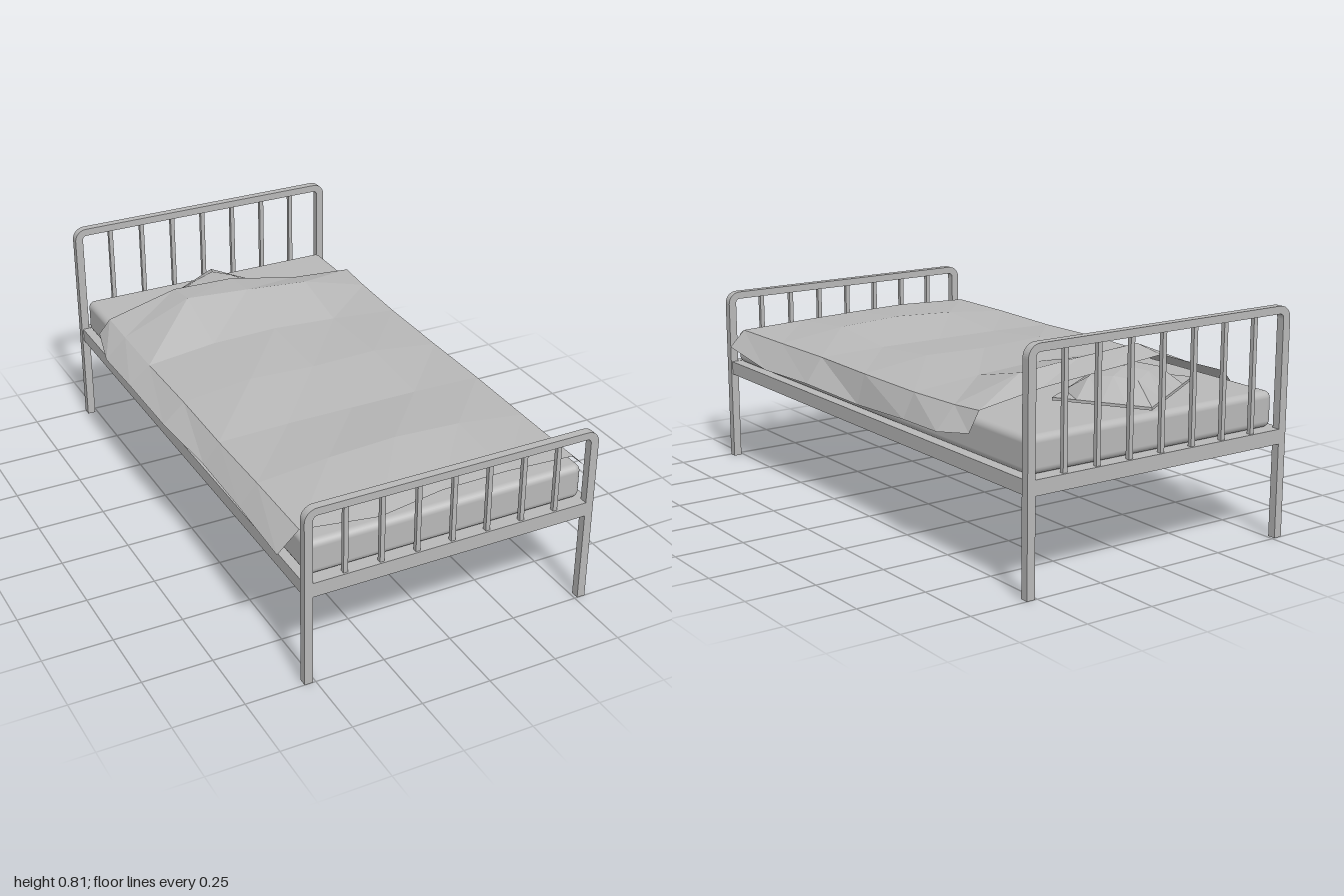
import * as THREE from 'three';
import { RoundedBoxGeometry } from 'three/addons/geometries/RoundedBoxGeometry.js';

const paint = new THREE.MeshStandardMaterial({ color: 0xb8b8b8 });
paint.name = 'light grey';
const cloth = new THREE.MeshStandardMaterial({ color: 0xb8b8b8, side: THREE.DoubleSide, flatShading: true });
cloth.name = 'light grey cloth';

const W = 0.54, BAR = 0.03;

function add(parent, name, geometry, material, x = 0, y = 0, z = 0) {
  const mesh = new THREE.Mesh(geometry, material);
  mesh.name = name;
  mesh.position.set(x, y, z);
  parent.add(mesh);
  return mesh;
}

// Upside-down U hoop with rounded shoulders, a rail and seven spindles
function endFrame(name, height, z) {
  const g = new THREE.Group();
  g.name = name;
  const R = 0.045, r = 0.018, i = W - BAR, h = height - 0.027;
  const s = new THREE.Shape();
  s.moveTo(-W, 0);
  s.lineTo(-i, 0);
  s.lineTo(-i, h - r);
  s.quadraticCurveTo(-i, h, -i + r, h);
  s.lineTo(i - r, h);
  s.quadraticCurveTo(i, h, i, h - r);
  s.lineTo(i, 0);
  s.lineTo(W, 0);
  s.lineTo(W, height - R);
  s.absarc(W - R, height - R, R, 0, Math.PI / 2, false);
  s.lineTo(-W + R, height);
  s.absarc(-W + R, height - R, R, Math.PI / 2, Math.PI, false);
  s.closePath();
  const hoop = new THREE.ExtrudeGeometry(s, { depth: BAR, bevelEnabled: false, curveSegments: 5 });
  add(g, 'hoop', hoop, paint, 0, 0, -BAR / 2);
  add(g, 'endRail', new THREE.BoxGeometry(2 * i, 0.052, BAR), paint, 0, 0.36, 0);
  const len = h - 0.384;
  for (let k = -3; k <= 3; k++) {
    add(g, 'spindle', new THREE.BoxGeometry(0.016, len, 0.016), paint, k * 0.1305, 0.384 + len / 2, 0);
  }
  g.position.z = z;
  return g;
}

// Sheet from rows of [x, y, z] points
function sheet(rows) {
  const n = rows[0].length, index = [];
  for (let j = 0; j < rows.length - 1; j++) {
    for (let i = 0; i < n - 1; i++) {
      const a = j * n + i, b = a + 1, c = a + n, d = c + 1;
      index.push(a, c, b, b, c, d);
    }
  }
  const geo = new THREE.BufferGeometry();
  geo.setAttribute('position', new THREE.Float32BufferAttribute(rows.flat(2), 3));
  geo.setIndex(index);
  geo.computeVertexNormals();
  return geo;
}

// Rumpled blanket: heights across the top, then drooping hems on both sides
function blanketGeometry() {
  const xs = [-0.51, -0.25, 0, 0.25, 0.51];
  const backZ = [-0.735, -0.72, -0.69, -0.71, -0.675, -0.70, -0.70];
  const frontZ = [0.90, 0.905, 0.955, 0.915, 0.905, 0.91, 0.91];
  // z, left hem x and y, five top heights, right hem x and y
  const data = [
    [-0.70, -0.55, 0.475, 0.535, 0.62, 0.605, 0.57, 0.54, 0.55, 0.47],
    [-0.56, -0.59, 0.455, 0.53, 0.637, 0.62, 0.60, 0.53, 0.58, 0.45],
    [-0.32, -0.59, 0.46, 0.525, 0.555, 0.56, 0.545, 0.522, 0.555, 0.435],
    [0.00, -0.59, 0.46, 0.53, 0.56, 0.55, 0.555, 0.522, 0.54, 0.415],
    [0.30, -0.57, 0.455, 0.525, 0.53, 0.53, 0.53, 0.525, 0.575, 0.435],
    [0.60, -0.575, 0.455, 0.53, 0.555, 0.567, 0.555, 0.522, 0.585, 0.43],
    [0.91, -0.585, 0.455, 0.53, 0.53, 0.535, 0.53, 0.52, 0.57, 0.46],
  ];
  return sheet(data.map(([z, lx, ly, ...rest], j) => {
    const [rx, ry] = rest.slice(5);
    const row = [[lx, ly, z], ...xs.map((x, i) => [x, rest[i], z]), [rx, ry, z]];
    const ends = j === 0 ? backZ : j === data.length - 1 ? frontZ : null;
    if (ends) row.forEach((p, i) => { p[2] = ends[i]; });
    return row;
  }));
}

// Low-poly cushion: a box grid thinning to a narrow rim
function pillowGeometry() {
  const geo = new THREE.BoxGeometry(0.46, 1, 0.34, 4, 1, 4);
  const p = geo.attributes.position;
  for (let i = 0; i < p.count; i++) {
    const u = p.getX(i) / 0.23, v = p.getZ(i) / 0.17;
    const bulge = Math.sqrt(Math.max(0, 1 - u * u) * Math.max(0, 1 - v * v));
    p.setY(i, p.getY(i) > 0 ? 0.01 + 0.072 * bulge : -0.008 * bulge);
  }
  geo.computeVertexNormals();
  return geo;
}

export function createModel() {
  const bed = new THREE.Group();
  bed.name = 'bed';
  bed.add(endFrame('headboard', 0.81, -0.985), endFrame('footboard', 0.66, 0.985));
  add(bed, 'basePlatform', new THREE.BoxGeometry(1.07, 0.05, 1.94), paint, 0, 0.36, 0);
  add(bed, 'mattress', new RoundedBoxGeometry(1.025, 0.127, 1.925, 3, 0.025), paint, 0, 0.4485, 0);
  const pillow = add(bed, 'pillow', pillowGeometry(), cloth, -0.08, 0.524, -0.70);
  pillow.rotation.y = 0.56;
  add(bed, 'blanket', blanketGeometry(), cloth);
  return bed;
}
